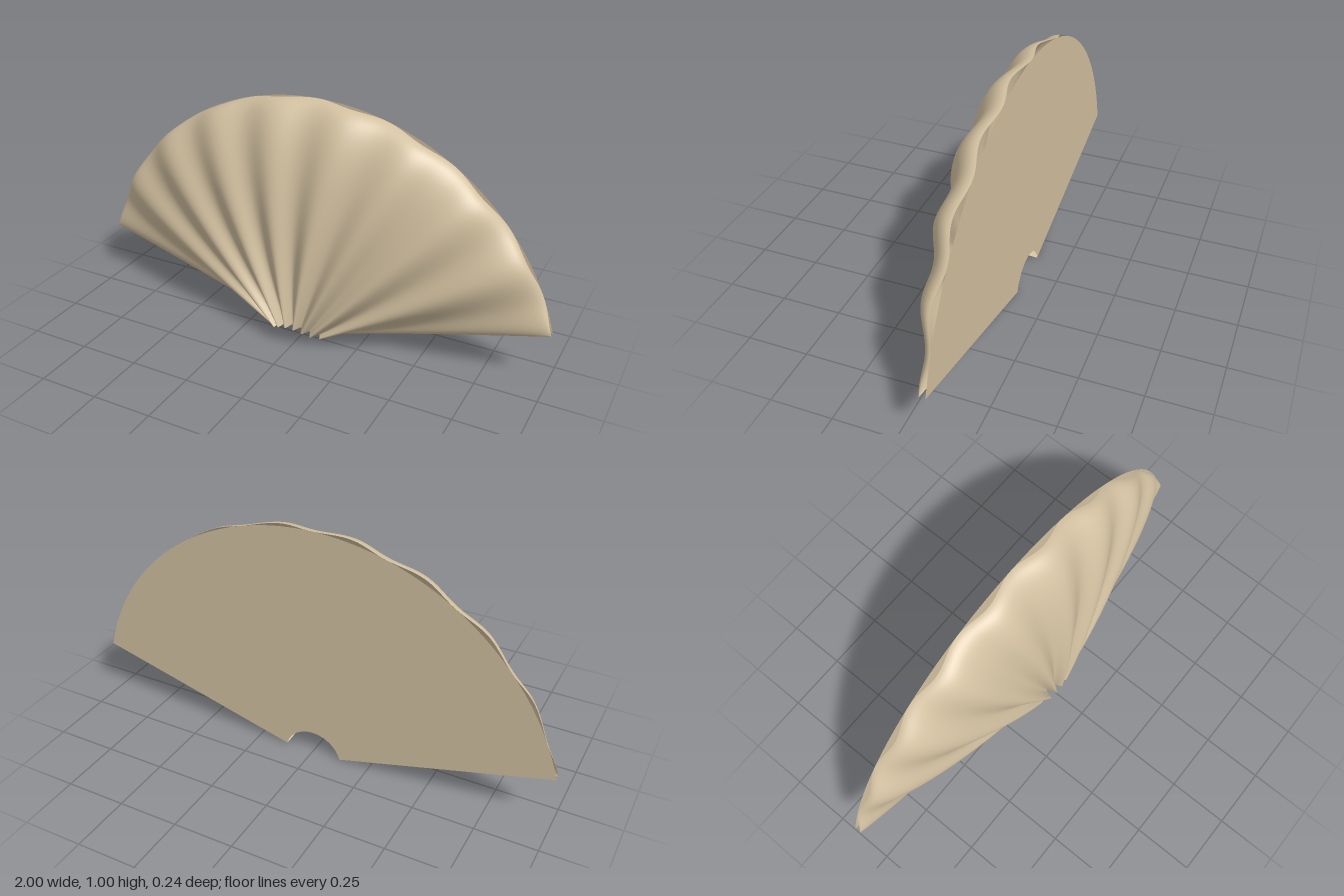
import * as THREE from 'three';

const R_IN = 0.126, R_OUT = 1.035, HUB_Y = -0.0326;
const HALF = THREE.MathUtils.degToRad(75); // half of the fan's spread
const BACK = -0.122, PLEATS = 9;

// height of the pleated dome; u runs -1..1 across the fan, t runs 0..1 hub to rim
function domeZ(u, t) {
  const base = BACK + 0.025 * t;
  const across = Math.sqrt(Math.max(0, 1 - Math.abs(u) ** 2.7));
  const along = Math.sqrt(Math.max(0, 1 - t * t));
  const groove = 0.5 + 0.5 * Math.cos(Math.PI * PLEATS * u); // 1 in a valley, 0 on a ridge
  const depth = 0.038 - 0.013 * t;
  return Math.max(BACK, base + 0.244 * across * along - depth * groove);
}

function domeGeometry(cols = 288, rows = 40) {
  const pos = [], idx = [];
  for (let i = 0; i <= cols; i++) {
    // samples crowd towards the side edges and the rim, where the dome is steep
    const u = Math.sin((i / cols - 0.5) * Math.PI);
    const a = Math.PI / 2 - u * HALF;
    for (let j = 0; j <= rows; j++) {
      const t = Math.sin((j / rows) * Math.PI / 2);
      const r = R_IN + (R_OUT - R_IN) * t;
      pos.push(r * Math.cos(a), HUB_Y + r * Math.sin(a), domeZ(u, t));
      if (i < cols && j < rows) {
        const p = i * (rows + 1) + j, q = p + rows + 1;
        idx.push(p, q, q + 1, p, q + 1, p + 1);
      }
    }
  }
  const geo = new THREE.BufferGeometry();
  geo.setAttribute('position', new THREE.Float32BufferAttribute(pos, 3));
  geo.setIndex(idx);
  geo.computeVertexNormals();
  return geo;
}

// flat annular sector
function sectorGeometry() {
  const s = new THREE.Shape();
  const a0 = Math.PI / 2 - HALF, a1 = Math.PI / 2 + HALF;
  s.absarc(0, HUB_Y, R_OUT, a0, a1, false);
  s.absarc(0, HUB_Y, R_IN, a1, a0, true);
  return new THREE.ShapeGeometry(s, 96);
}

export function createModel() {
  const group = new THREE.Group();
  group.name = 'pleatedFan';
  const material = new THREE.MeshStandardMaterial({ color: 0xd2c0a0, side: THREE.DoubleSide });

  // pleated, domed front
  const dome = new THREE.Mesh(domeGeometry(), material);
  dome.name = 'pleatedDome';

  // flat back, turned to face the rear
  const back = new THREE.Mesh(sectorGeometry(), material);
  back.name = 'backPanel';
  back.rotation.y = Math.PI;
  back.position.z = BACK;

  group.add(dome, back);
  return group;
}
